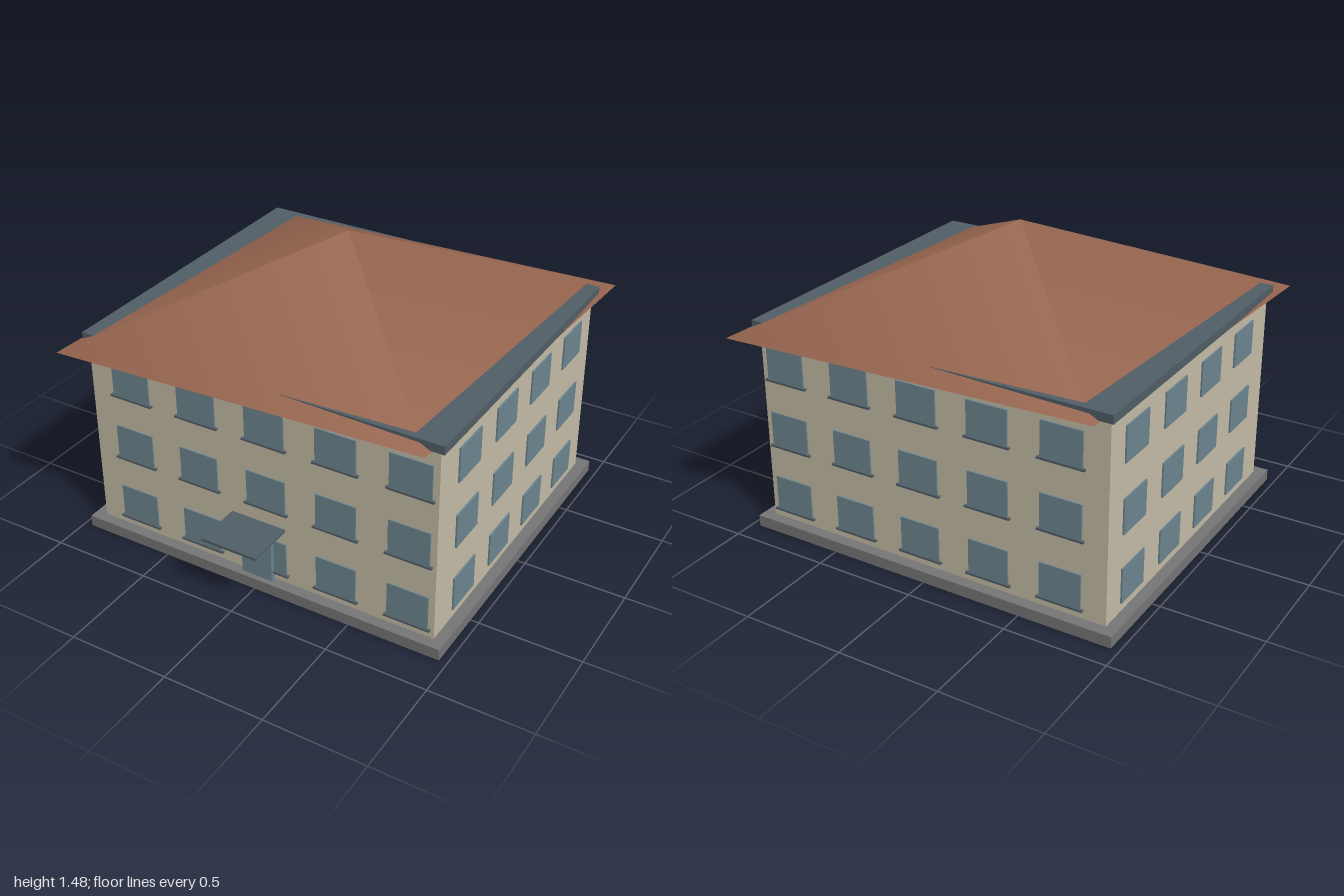
import * as THREE from 'three';

const mat = (name, color) => {
  const m = new THREE.MeshStandardMaterial({ color });
  m.name = name;
  return m;
};

export function createModel() {
  const house = new THREE.Group();
  house.name = 'house';
  const plaster = mat('plaster', 0xc8bfa9);
  const stone = mat('stone', 0x777777);
  const tile = mat('roofTile', 0x96654f);
  const slate = mat('slate', 0x525f67);
  const glass = mat('glass', 0x6f8792);

  // Box given by its lower and upper corners
  const box = (name, material, [x0, y0, z0], [x1, y1, z1], parent = house) => {
    const mesh = new THREE.Mesh(new THREE.BoxGeometry(x1 - x0, y1 - y0, z1 - z0), material);
    mesh.position.set((x0 + x1) / 2, (y0 + y1) / 2, (z0 + z1) / 2);
    mesh.name = name;
    parent.add(mesh);
  };

  // Main volumes
  box('foundation', stone, [-0.96, 0, -0.886], [0.96, 0.057, 0.811]);
  box('walls', plaster, [-0.905, 0.057, -0.83], [0.905, 1.035, 0.757]);
  box('cornice', slate, [-0.928, 1.033, -0.858], [0.928, 1.075, 0.773]);

  // Four-sided roof, stretched along one diagonal so it sits skewed on the cornice
  const cone = new THREE.ConeGeometry(1, 0.45, 4);
  cone.scale(1.357, 1, 1.224);
  cone.rotateY(Math.PI / 4);
  const roof = new THREE.Mesh(cone, tile);
  roof.position.set(0, 1.03 + 0.225, -0.04);
  roof.name = 'roof';
  house.add(roof);

  // Three storeys of windows
  const windows = new THREE.Group();
  windows.name = 'windows';
  house.add(windows);
  const w = 0.102;
  for (const y of [0.102, 0.443, 0.784]) {
    // Front and back windows with sills
    for (let i = 0; i < 5; i++) {
      const x = -0.68 + i * 0.363;
      box('frontWindow', glass, [x - w, y, 0.755], [x + w, y + 0.173, 0.764], windows);
      box('backWindow', glass, [x - w, y, -0.838], [x + w, y + 0.173, -0.829], windows);
      box('frontSill', slate, [x - 0.115, y - 0.008, 0.755], [x + 0.115, y + 0.002, 0.772], windows);
      box('backSill', slate, [x - 0.115, y - 0.008, -0.845], [x + 0.115, y + 0.002, -0.829], windows);
    }
    // Side windows
    for (let i = 0; i < 4; i++) {
      const z = 0.487 - i * 0.363;
      box('leftWindow', glass, [0.904, y, z - w], [0.913, y + 0.173, z + w], windows);
      box('rightWindow', glass, [-0.913, y, z - w], [-0.904, y + 0.173, z + w], windows);
    }
  }

  // Entrance
  box('door', glass, [-0.081, 0.057, 0.755], [0.081, 0.314, 0.785]);
  box('canopy', slate, [-0.143, 0.343, 0.755], [0.143, 0.356, 1.0]);

  return house;
}
